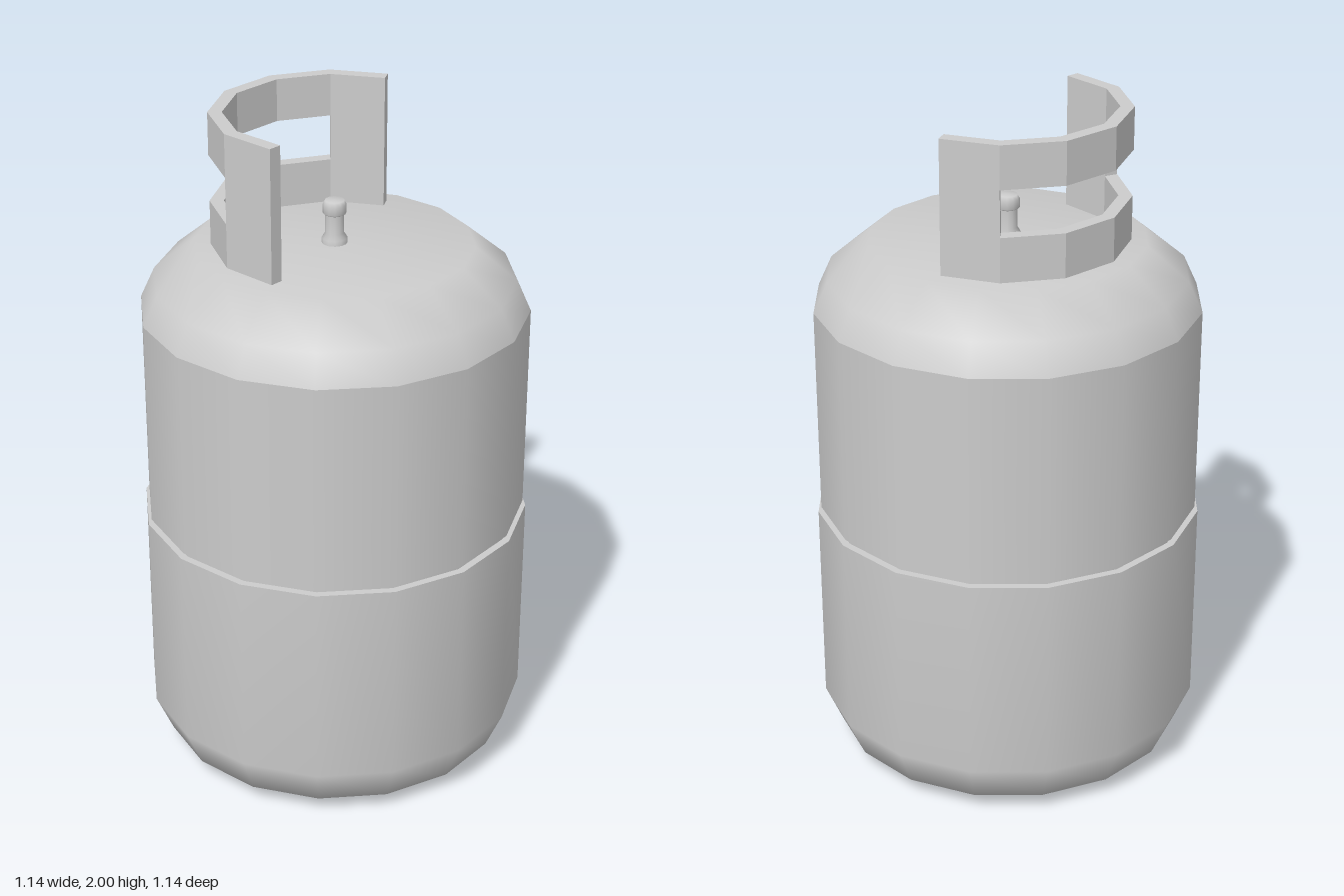
import * as THREE from 'three';

const material = new THREE.MeshStandardMaterial({ color: 0xcccccc });

// Revolves a [radius, height] profile, listed from bottom to top
function lathe(name, profile, sides) {
  const points = profile.map(([r, y]) => new THREE.Vector2(r, y));
  const mesh = new THREE.Mesh(new THREE.LatheGeometry(points, sides), material);
  mesh.name = name;
  return mesh;
}

// Raises a plan outline of [x, z] corners from one height to another
function raise(name, outline, y0, y1) {
  const shape = new THREE.Shape(outline.map(([x, z]) => new THREE.Vector2(x, -z)));
  const geometry = new THREE.ExtrudeGeometry(shape, { depth: y1 - y0, bevelEnabled: false });
  geometry.rotateX(-Math.PI / 2).translate(0, y0, 0);
  const mesh = new THREE.Mesh(geometry, material);
  mesh.name = name;
  return mesh;
}

export function createModel() {
  const model = new THREE.Group();
  model.name = 'gasCylinder';

  // Tank: two shells that meet at a recessed weld seam
  model.add(
    lathe('lowerShell', [[0, 0.004], [0.4, 0.004], [0.52, 0.055], [0.57, 0.17], [0.57, 0.785]], 16),
    lathe('lowerShellBase', [[0, 0], [0.4, 0], [0.4, 0.004]], 16),
    lathe('lowerShellRim', [[0.57, 0.785], [0.548, 0.785]], 16),
    lathe('weldSeam', [[0.548, 0.785], [0.548, 0.8]], 16),
    lathe('upperShellRim', [[0.548, 0.8], [0.561, 0.8]], 16),
    lathe('upperShell', [[0.561, 0.8], [0.561, 1.42]], 16),
    lathe('shoulder', [[0.561, 1.42], [0.52, 1.51], [0.4, 1.61], [0, 1.61]], 16)
  );

  // Valve: flared foot, narrow stem and wider cap
  const valve = new THREE.Group();
  valve.name = 'valve';
  valve.add(
    lathe('valveStem', [[0.037, 1.6], [0.037, 1.625], [0.027, 1.64], [0.027, 1.695]], 12),
    lathe('valveCap', [[0.027, 1.695], [0.034, 1.7], [0.034, 1.725], [0.028, 1.737], [0, 1.737]], 12)
  );
  model.add(valve);

  // Collar: half of a twelve-sided ring, with a grip opening between two posts
  const collar = new THREE.Group();
  collar.name = 'collar';
  const corner = (r, step) => {
    const a = (step * Math.PI) / 6;
    return [-r * Math.cos(a), r * Math.sin(a)];
  };
  const steps = [-2, -1, 0, 1, 2];
  const band = [
    ...steps.map((s) => corner(0.35, s)),
    ...steps.map((s) => corner(0.31, -s)),
  ];
  collar.add(raise('collarFoot', band, 1.605, 1.74), raise('collarGrip', band, 1.875, 2));
  for (const side of [-1, 1]) {
    const post = [
      corner(0.35, 2 * side),
      [-0.01, 0.347 * side],
      [0, 0.309 * side],
      corner(0.31, 2 * side),
    ];
    collar.add(raise(side > 0 ? 'frontPost' : 'backPost', post, 1.605, 2));
  }
  model.add(collar);

  return model;
}
